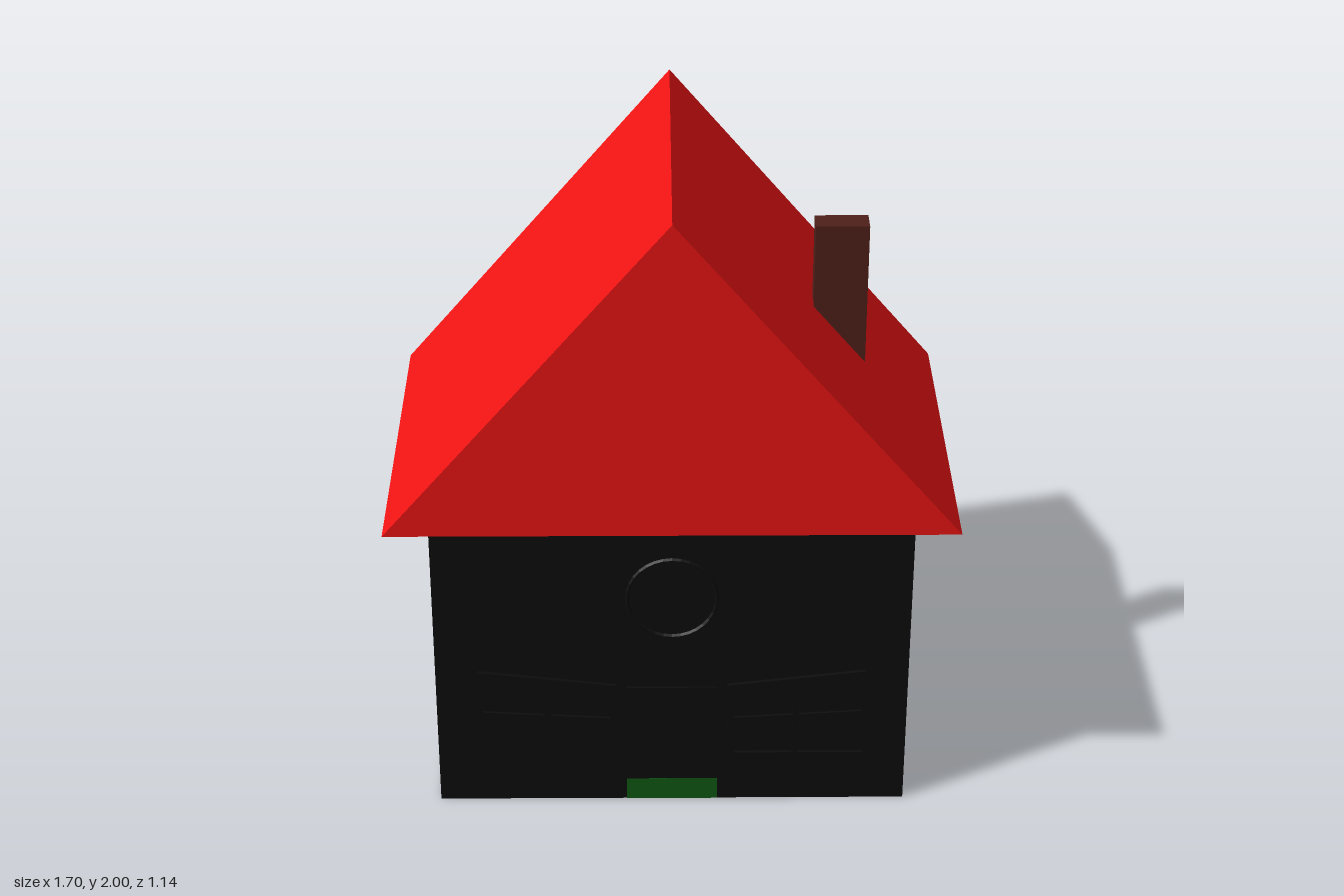
import * as THREE from 'three';

const mat = (color) => new THREE.MeshStandardMaterial({ color, flatShading: true });
const BLACK = mat(0x0d0d0d), RED = mat(0xf01414), BROWN = mat(0x50211a), GREEN = mat(0x0f5a14);

export function createModel() {
  const house = new THREE.Group();
  house.name = 'house';

  const add = (name, geometry, material, x = 0, y = 0, z = 0, parent = house) => {
    const mesh = new THREE.Mesh(geometry, material);
    mesh.name = name;
    mesh.position.set(x, y, z);
    parent.add(mesh);
    return mesh;
  };
  const box = (name, w, h, d, material, x, y, z, parent) =>
    add(name, new THREE.BoxGeometry(w, h, d), material, x, y, z, parent);
  // Flat outline pushed out along z
  const extrude = (points, depth, hole) => {
    const shape = new THREE.Shape(points.map(([x, y]) => new THREE.Vector2(x, y)));
    if (hole) shape.holes.push(new THREE.Path(hole.map(([x, y]) => new THREE.Vector2(x, y))));
    return new THREE.ExtrudeGeometry(shape, { depth, bevelEnabled: false });
  };

  // Walls, gabled roof and chimney
  box('walls', 1.44, 1, 1.006, BLACK, 0, 0.5, 0);
  add('roof', extrude([[-0.85, 1], [0.85, 1], [0, 2]], 1.14), RED, 0, 0, -0.57);
  box('chimney', 0.16, 0.56, 0.08, BROWN, 0.508, 1.48, 0.03);

  // Door with a green threshold
  box('door', 0.28, 0.34, 0.01, BLACK, 0, 0.25, 0.505);
  box('threshold', 0.28, 0.076, 0.006, GREEN, 0, 0.038, 0.502);

  // Round gable window
  add('roundWindow', new THREE.TorusGeometry(0.135, 0.006, 4, 32), BLACK, 0, 0.74, 0.503);

  // Front windows, slightly lopsided frames with crossbars
  for (const side of [-1, 1]) {
    const win = new THREE.Group();
    win.name = side < 0 ? 'rightWindow' : 'leftWindow';
    house.add(win);
    const outer = [[0.17, 0.16], [0.61, 0.16], [0.59, 0.48], [0.17, 0.43]];
    const inner = [[0.19, 0.18], [0.59, 0.18], [0.57, 0.455], [0.19, 0.41]];
    const flip = (pts) => pts.map(([x, y]) => [side * x, y]);
    add('windowFrame', extrude(flip(outer), 0.012, flip(inner)), BLACK, 0, 0, 0.502, win);
    box('windowPost', 0.02, 0.27, 0.01, BLACK, side * 0.38, 0.305, 0.506, win);
    box('windowBar', 0.39, 0.02, 0.01, BLACK, side * 0.385, 0.31, 0.506, win).rotation.z = side * 0.06;
  }
  return house;
}
